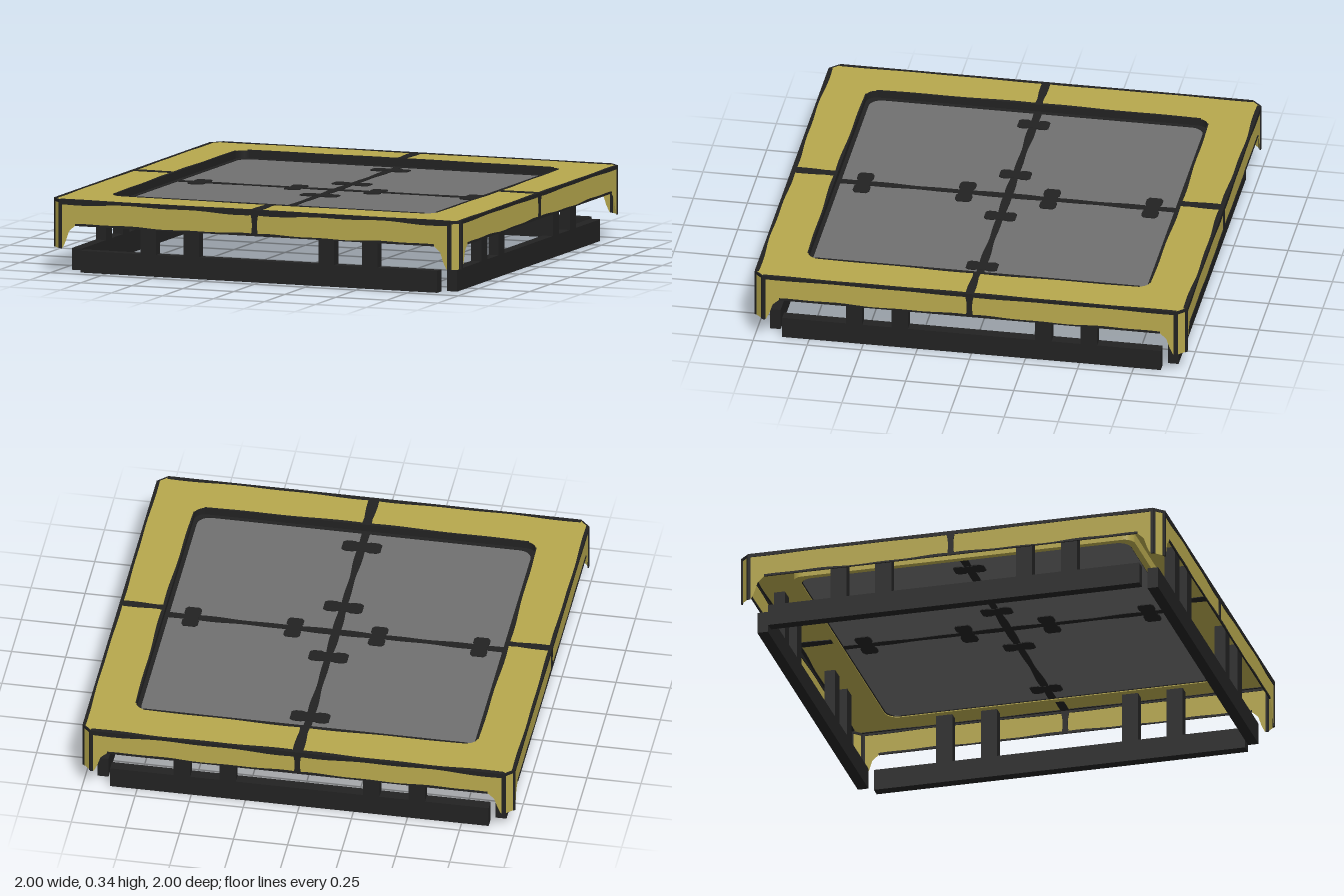
import * as THREE from 'three';

const TOP = 0.338, PLATE = 0.3, OUT = 0.997, CUT = 0.955, HOLE = 0.79;

export function createModel() {
  const paint = (name, color) => {
    const m = new THREE.MeshStandardMaterial({ color, side: THREE.DoubleSide });
    m.name = name;
    return m;
  };
  const yellow = paint('worn yellow', 0xb7a84d);
  const grey = paint('plate grey', 0x707070);
  const black = paint('black steel', 0x222222);

  const model = new THREE.Group();
  model.name = 'floorHatch';
  const add = (parent, name, geo, mat, x = 0, y = 0, z = 0) => {
    const m = new THREE.Mesh(geo, mat);
    m.name = name;
    m.position.set(x, y, z);
    parent.add(m);
    return m;
  };
  const polygon = pts => new THREE.Shape(pts.map(p => new THREE.Vector2(p[0], p[1])));
  const extrude = (shape, depth) =>
    new THREE.ExtrudeGeometry(shape, { depth, bevelEnabled: false, curveSegments: 6 }).translate(0, 0, -depth / 2);
  const lay = geo => geo.rotateX(Math.PI / 2); // shape y becomes z

  // Thin ribbon between two edge rules; swap runs it along the second axis
  const ribbon = (a, b, lo, hi, swap = false, n = 40) => {
    const low = [], high = [];
    for (let i = 0; i <= n; i++) {
      const t = a + (b - a) * i / n;
      low.push([t, lo(t)]);
      high.unshift([t, hi(t)]);
    }
    const pts = [...low, ...high].map(p => swap ? [p[1], p[0]] : p);
    return extrude(polygon(pts), 0.006);
  };
  const wave = (t, k = 1) => 0.5 + 0.3 * Math.sin(7 * t * k + 1) + 0.2 * Math.sin(17 * t * k);

  const roundedSquare = (h, r, Type = THREE.Shape) => {
    const s = new Type();
    s.absarc(h - r, h - r, r, 0, Math.PI / 2);
    s.absarc(r - h, h - r, r, Math.PI / 2, Math.PI);
    s.absarc(r - h, r - h, r, Math.PI, Math.PI * 1.5);
    s.absarc(h - r, r - h, r, Math.PI * 1.5, Math.PI * 2);
    s.closePath();
    return s;
  };
  const ring = (outer, inner, r) => {
    const s = roundedSquare(outer, r);
    s.holes.push(roundedSquare(inner, r, THREE.Path));
    return s;
  };

  // Top rim with chamfered corners and a square opening
  const rim = polygon([[OUT, -CUT], [OUT, CUT], [CUT, OUT], [-CUT, OUT],
    [-OUT, CUT], [-OUT, -CUT], [-CUT, -OUT], [CUT, -OUT]]);
  rim.holes.push(roundedSquare(HOLE, 0.05, THREE.Path));
  add(model, 'topRim', lay(new THREE.ShapeGeometry(rim, 6)), yellow, 0, TOP);

  // Sunken plate, its dark outline and the wall of the recess
  add(model, 'sunkenPlate', lay(new THREE.ShapeGeometry(roundedSquare(0.785, 0.06), 6)), grey, 0, PLATE);
  add(model, 'plateOutline', lay(extrude(ring(0.795, 0.772, 0.06), 0.006)), black, 0, PLATE);
  add(model, 'recessWall', lay(extrude(ring(0.796, HOLE, 0.05), 0.036)), black, 0, 0.319);
  add(model, 'recessBacking', lay(extrude(ring(0.804, 0.798, 0.05), 0.044)), yellow, 0, 0.314);
  add(model, 'recessLip', lay(extrude(ring(0.804, 0.776, 0.06), 0.004)), yellow, 0, 0.294);

  // Skirt outline: shallow along the middle, deep flaps at the corners
  const skirt = polygon([[-CUT, TOP], [-CUT, 0.115], [-0.94, 0.118], [-0.925, 0.15], [-0.91, 0.195], [-0.88, 0.222],
    [0.88, 0.222], [0.91, 0.195], [0.925, 0.15], [0.94, 0.118], [CUT, 0.115], [CUT, TOP]]);
  // Rounded clip lying across a plate seam
  const clip = (w, d) => polygon([[-w, -d * 0.7], [-w * 0.8, -d], [-w * 0.4, -d], [-w * 0.3, -d * 0.85], [w * 0.3, -d * 0.85],
    [w * 0.4, -d], [w * 0.8, -d], [w, -d * 0.7], [w, d * 0.7], [w * 0.8, d], [w * 0.4, d],
    [w * 0.3, d * 0.85], [-w * 0.3, d * 0.85], [-w * 0.4, d], [-w * 0.8, d], [-w, d * 0.7]]);

  for (let i = 0; i < 4; i++) {
    const side = new THREE.Group();
    side.name = ['front', 'left', 'back', 'right'][i] + 'Side';
    side.rotation.y = i * Math.PI / 2;
    model.add(side);
    const isFront = i % 2 === 0;

    // Skirt with worn dark edges and seams
    add(side, 'skirt', new THREE.ShapeGeometry(skirt), yellow, 0, 0, OUT);
    add(side, 'skirtTopEdge', ribbon(-CUT, CUT, t => 0.328 - (isFront ? 0.014 : 0.005) * wave(Math.abs(t)), () => 0.34),
      black, 0, 0, OUT);
    add(side, 'skirtBottomEdge', ribbon(-0.88, 0.88, () => 0.221, t => 0.225 + 0.009 * wave(Math.abs(t), 1.4)),
      black, 0, 0, OUT);
    const seamHalf = y => 0.012 + 0.012 * Math.pow(Math.abs(y - 0.27) / 0.07, 2);
    add(side, 'skirtSeam', ribbon(0.222, TOP, y => -seamHalf(y), seamHalf, true, 8), black, 0, 0, OUT);

    // Rim edges and seam
    add(side, 'rimOuterEdge', lay(ribbon(-CUT, CUT,
      t => 0.99 - (isFront ? 0.012 : 0.006) * wave(Math.abs(t)), () => 1)), black, 0, TOP);
    add(side, 'rimInnerEdge', lay(ribbon(-0.75, 0.75, () => HOLE - 0.002,
      t => HOLE + 0.002 + 0.012 * wave(Math.abs(t), 0.8))), black, 0, TOP);
    const rimHalf = t => (isFront ? 0.019 : 0.014) + 0.006 * Math.abs(Math.sin(15 * t));
    add(side, 'rimSeam', lay(ribbon(HOLE, OUT, t => -rimHalf(t), rimHalf, true, 12)), black, 0, TOP);

    // Plate seam and its two clips
    const plateHalf = t => 0.012 + 0.009 * wave(t, 1.5);
    add(side, 'plateSeam', lay(ribbon(0, 0.78, t => -plateHalf(t), plateHalf, true)), black, 0, PLATE);
    for (const z of [0.195, 0.667])
      add(side, 'seamClip', lay(extrude(clip(isFront ? 0.09 : 0.072, 0.038), 0.009)), black, 0, PLATE, z);

    // Base bar and posts
    add(side, 'baseBar', new THREE.BoxGeometry(1.75, 0.1, 0.05), black, 0, 0.05, 0.92);
    for (const x of [-0.543, -0.332, 0.332, 0.543])
      add(side, 'post', new THREE.BoxGeometry(0.076, 0.235, 0.05), black, x, 0.2175, 0.92);

    // Dark corner edges on the skirt ends
    for (const s of [-1, 1])
      add(side, 'skirtEndEdge', new THREE.BoxGeometry(0.014, 0.224, 0.006), black, s * 0.951, 0.227, OUT);

    // Chamfered corner flap
    const corner = new THREE.Group();
    corner.name = 'cornerFlap';
    corner.rotation.y = Math.PI / 4;
    side.add(corner);
    const width = (OUT - CUT) * Math.SQRT2, dist = (OUT + CUT) / Math.SQRT2;
    add(corner, 'cornerPanel', new THREE.PlaneGeometry(width, TOP - 0.115), yellow, 0, (TOP + 0.115) / 2, dist);
    add(corner, 'cornerTopEdge', new THREE.BoxGeometry(width, 0.014, 0.006), black, 0, 0.333, dist);
    for (const s of [-1, 1])
      add(corner, 'cornerSideEdge', new THREE.BoxGeometry(0.011, 0.224, 0.006), black, s * 0.025, 0.227, dist);
  }
  return model;
}
